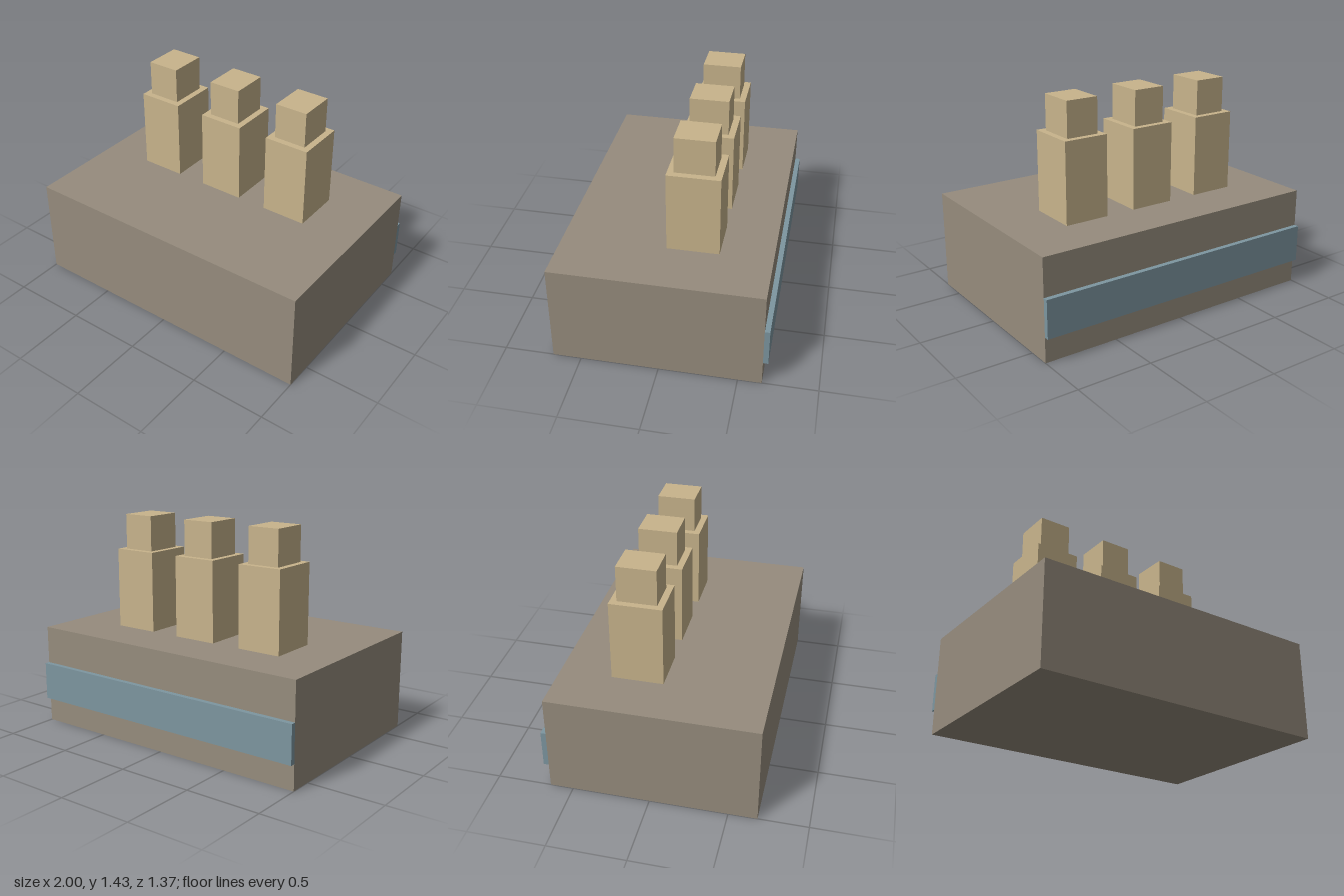
import * as THREE from 'three';

const material = (name, color) => {
  const m = new THREE.MeshStandardMaterial({ color });
  m.name = name;
  return m;
};

// Box given by its size, centre in x and z, and bottom height
function block(name, mat, [w, h, d], x, bottom, z) {
  const mesh = new THREE.Mesh(new THREE.BoxGeometry(w, h, d), mat);
  mesh.name = name;
  mesh.position.set(x, bottom + h / 2, z);
  return mesh;
}

export function createModel() {
  const stone = material('greyBrownStone', 0x968c7d);
  const sand = material('sand', 0xc8b48c);
  const blue = material('greyBlue', 0x7d96a0);

  const model = new THREE.Group();
  model.name = 'blockWithThreeTowers';

  // Main body and the band along its back
  model.add(block('base', stone, [2, 0.667, 1.333], 0, 0, 0.0165));
  model.add(block('backBand', blue, [2, 0.25, 0.033], 0, 0.167, -0.6665));

  // Row of three stepped towers
  for (const x of [-0.517, -0.017, 0.483]) {
    const tower = new THREE.Group();
    tower.name = 'tower';
    tower.add(block('towerShaft', sand, [0.3, 0.533, 0.333], 0, 0.667, 0));
    tower.add(block('towerCap', sand, [0.217, 0.233, 0.25], 0, 1.2, 0));
    tower.position.set(x, 0, -0.15);
    model.add(tower);
  }
  return model;
}
